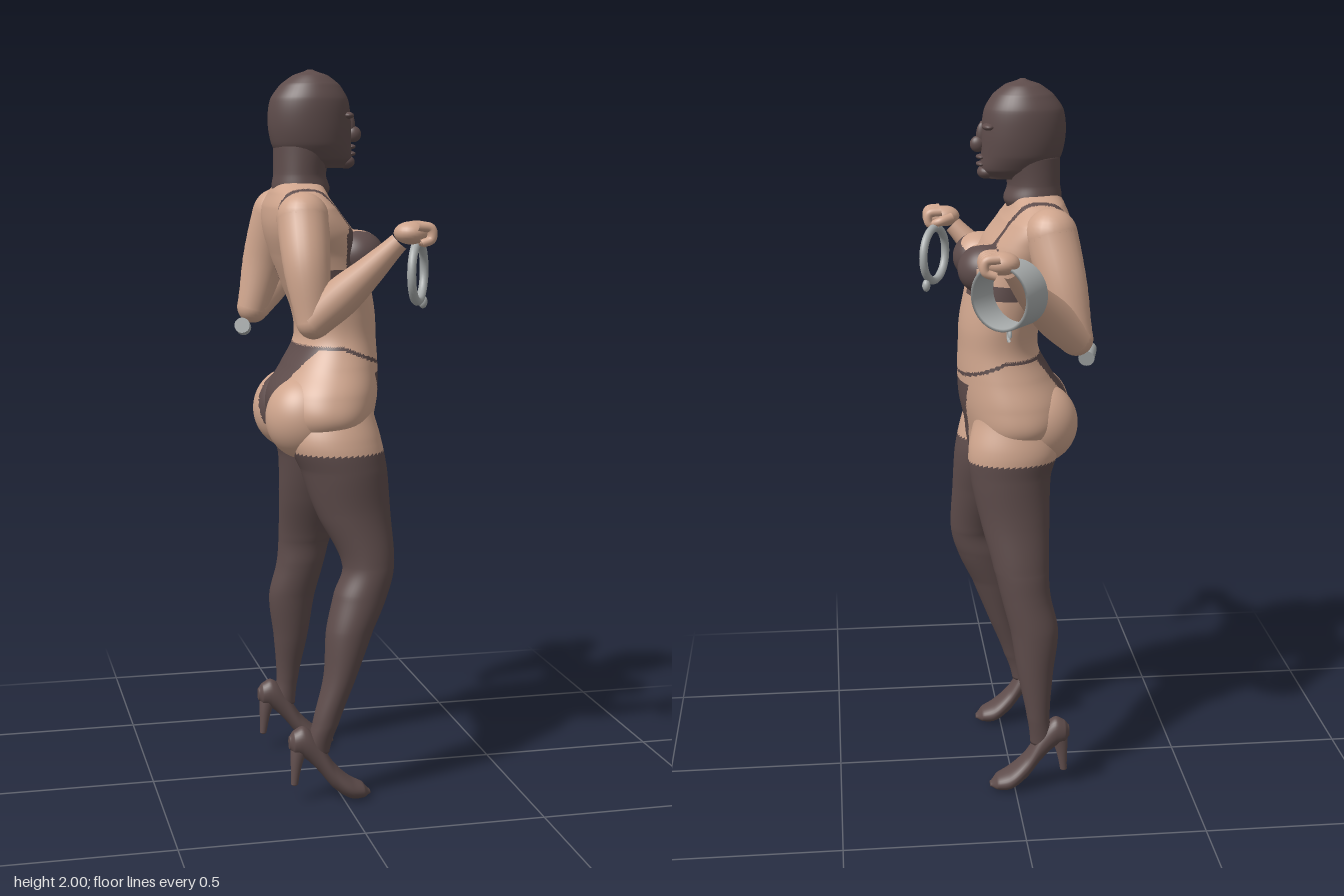
import * as THREE from 'three';

const mat = (name, color, side = THREE.FrontSide) => {
  const m = new THREE.MeshStandardMaterial({ color, side });
  m.name = name;
  return m;
};

// Catmull-Rom through the rows, sampled evenly within each span
function refine(rows, steps) {
  const out = [], n = rows.length;
  for (let i = 0; i < n - 1; i++) {
    const [a, b, c, d] = [rows[Math.max(i - 1, 0)], rows[i], rows[i + 1], rows[Math.min(i + 2, n - 1)]];
    for (let s = 0; s < steps; s++) {
      const t = s / steps;
      out.push(b.map((v, k) => k === 0 ? v + (c[0] - v) * t
        : 0.5 * (2 * v + (c[k] - a[k]) * t + (2 * a[k] - 5 * v + 4 * c[k] - d[k]) * t * t
          + (3 * v - a[k] - 3 * c[k] + d[k]) * t * t * t)));
    }
  }
  out.push(rows[n - 1]);
  return out;
}

// Loft of oval sections, rows [t, a0, a1, b0, b1]:
// axis 'y' rises with a = x, b = z; axis 'x' runs backwards with a = y, b = z
function loft(rows, { axis = 'y', steps = 8, seg = 48, power = 1 } = {}) {
  const rings = refine(rows, steps), pos = [], idx = [];
  const put = (t, a, b) => axis === 'y' ? pos.push(a, t, b) : pos.push(t, a, b);
  const bend = v => Math.sign(v) * Math.abs(v) ** power;
  for (const [t, a0, a1, b0, b1] of rings)
    for (let j = 0; j < seg; j++) {
      const q = j / seg * Math.PI * 2;
      put(t, (a0 + a1) / 2 + (a1 - a0) / 2 * bend(Math.cos(q)), (b0 + b1) / 2 + (b1 - b0) / 2 * bend(Math.sin(q)));
    }
  for (let i = 0; i < rings.length - 1; i++)
    for (let j = 0; j < seg; j++) {
      const a = i * seg + j, b = i * seg + (j + 1) % seg;
      idx.push(a, a + seg, b, b, a + seg, b + seg);
    }
  // End caps
  const last = (rings.length - 1) * seg, c = pos.length / 3;
  for (const [t, a0, a1, b0, b1] of [rings[0], rings[rings.length - 1]]) put(t, (a0 + a1) / 2, (b0 + b1) / 2);
  for (let j = 0; j < seg; j++) {
    const k = (j + 1) % seg;
    idx.push(c, j, k, c + 1, last + k, last + j);
  }
  const g = new THREE.BufferGeometry();
  g.setAttribute('position', new THREE.Float32BufferAttribute(pos, 3));
  g.setIndex(idx);
  g.computeVertexNormals();
  return g;
}

// Round limb through points [x, y, z, radius]
function limb(points) {
  const n = 24, seg = 24;
  const curve = new THREE.CatmullRomCurve3(points.map(p => new THREE.Vector3(p[0], p[1], p[2])));
  const radii = refine(points.map((p, i) => [i, p[3]]), 16);
  const g = new THREE.TubeGeometry(curve, n, 1, seg), pos = g.attributes.position, v = new THREE.Vector3();
  for (let i = 0; i < pos.count; i++) {
    const u = Math.floor(i / (seg + 1)) / n, c = curve.getPointAt(u);
    const r = radii[Math.round(u * (radii.length - 1))][1];
    v.fromBufferAttribute(pos, i).sub(c).multiplyScalar(r).add(c);
    pos.setXYZ(i, v.x, v.y, v.z);
  }
  return g;
}

const ball = (x, y, z, rx, ry, rz, seg = 24) =>
  new THREE.SphereGeometry(1, seg, Math.ceil(seg * 0.7)).scale(rx, ry, rz).translate(x, y, z);

// Sort faces into two material groups by their centre
function split(g, isSecond) {
  const p = g.attributes.position, src = g.index.array, lists = [[], []];
  for (let i = 0; i < src.length; i += 3) {
    const f = [src[i], src[i + 1], src[i + 2]];
    const mid = get => (get.call(p, f[0]) + get.call(p, f[1]) + get.call(p, f[2])) / 3;
    lists[isSecond(mid(p.getX), mid(p.getY), mid(p.getZ)) ? 1 : 0].push(...f);
  }
  g.setIndex([...lists[0], ...lists[1]]);
  g.addGroup(0, lists[0].length, 0);
  g.addGroup(lists[0].length, lists[1].length, 1);
  return g;
}

// Where the two-piece garment covers the torso
function covered(x, y, z) {
  const d = Math.abs(z - 0.033);
  if (y > 1.3) {
    const strap = y > 1.5 && (Math.abs(z - 0.143) < 0.008 || Math.abs(z + 0.095) < 0.008);
    const band = y > 1.425 && y < 1.465 && d > 0.05;
    const cup = x > 0.02 && d < 0.165 && y > 1.43 && y < Math.min(1.515 + d * 0.5, 1.655 - d * 0.6) && y > 1.485 - d;
    return strap || band || cup;
  }
  const string = Math.abs(y - (1.25 - Math.max(0, x - 0.02) * 0.4)) < 0.005;
  const front = x > 0 && y < 1.18 && d < 0.03 + Math.max(0, y - 0.96) * 0.4;
  const back = x <= 0 && y < 1.245 && d < 0.03 + Math.max(0, y - 1.0) * 0.35;
  return string || front || back;
}

export function createModel() {
  const model = new THREE.Group();
  const skin = mat('skin', 0xcfa58d), fabric = mat('dark fabric', 0x5e4c4b);
  const metal = mat('grey metal', 0xa8acac, THREE.DoubleSide);
  const add = (name, g, m, parent = model) => {
    const mesh = new THREE.Mesh(g, m);
    mesh.name = name;
    parent.add(mesh);
    return mesh;
  };
  const two = [skin, fabric];

  // Torso
  add('torso', split(loft([
    [0.93, -0.05, 0.07, 0.0, 0.08], [0.98, -0.13, 0.11, -0.12, 0.19], [1.05, -0.165, 0.12, -0.18, 0.255],
    [1.12, -0.165, 0.135, -0.178, 0.245], [1.2, -0.12, 0.14, -0.155, 0.2], [1.27, -0.085, 0.138, -0.14, 0.17],
    [1.34, -0.09, 0.135, -0.145, 0.17], [1.42, -0.12, 0.12, -0.155, 0.185], [1.5, -0.15, 0.1, -0.165, 0.2],
    [1.57, -0.17, 0.065, -0.18, 0.225], [1.63, -0.17, 0.02, -0.18, 0.22], [1.67, -0.155, -0.005, -0.12, 0.165],
    [1.7, -0.14, -0.01, -0.05, 0.09]], { steps: 12, seg: 144, power: 0.92 }), covered), two);
  for (const [side, z] of [['left', 0.115], ['right', -0.062]])
    add(side + 'Bust', split(ball(0.065, 1.5, z, 0.078, 0.07, 0.078, 72), covered), two);
  for (const [side, z] of [['left', 0.125], ['right', -0.06]])
    add(side + 'Buttock', split(ball(-0.08, 1.06, z, 0.11, 0.115, 0.105, 72), covered), two);
  add('bow', ball(0.105, 1.515, 0.03, 0.012, 0.014, 0.025), fabric);

  // Hooded head and neck
  const head = new THREE.Group();
  head.name = 'head';
  model.add(head);
  add('neck', loft([[1.655, -0.14, 0.0, -0.055, 0.095], [1.68, -0.15, 0.01, -0.062, 0.1],
    [1.72, -0.145, 0.0, -0.055, 0.095], [1.8, -0.145, 0.02, -0.055, 0.095]]), fabric, head);
  add('hood', loft([
    [1.735, -0.08, 0.055, -0.02, 0.06], [1.76, -0.125, 0.072, -0.045, 0.085], [1.8, -0.15, 0.071, -0.064, 0.104],
    [1.86, -0.16, 0.07, -0.072, 0.112], [1.92, -0.153, 0.062, -0.07, 0.11], [1.96, -0.125, 0.038, -0.053, 0.093],
    [1.985, -0.09, 0.005, -0.03, 0.07], [2.0, -0.05, -0.035, 0.01, 0.03]]), fabric, head);
  add('nose', ball(0.08, 1.827, 0.02, 0.021, 0.022, 0.016), fabric, head);
  add('noseBridge', ball(0.068, 1.85, 0.02, 0.016, 0.035, 0.011), fabric, head);
  add('chin', ball(0.058, 1.752, 0.02, 0.024, 0.019, 0.03), fabric, head);
  for (const y of [1.774, 1.793]) add('lip', ball(0.071, y, 0.02, 0.014, 0.007, 0.024), fabric, head);
  for (const s of [-1, 1]) add('brow', ball(0.053, 1.877, 0.02 + s * 0.035, 0.018, 0.01, 0.03), fabric, head);

  // Stockinged legs, bare above the stocking top
  const legs = {
    left: [[0.14, -0.105, -0.04, 0.215, 0.272], [0.22, -0.088, -0.015, 0.21, 0.285], [0.35, -0.055, 0.035, 0.19, 0.295],
      [0.48, -0.045, 0.085, 0.168, 0.298], [0.58, -0.02, 0.13, 0.15, 0.29], [0.66, 0.005, 0.15, 0.14, 0.28],
      [0.8, -0.06, 0.146, 0.09, 0.268], [0.92, -0.1, 0.14, 0.045, 0.272], [1.0, -0.13, 0.125, 0.04, 0.265],
      [1.1, -0.11, 0.1, 0.06, 0.23]],
    right: [[0.14, -0.11, -0.045, -0.225, -0.168], [0.22, -0.1, -0.035, -0.23, -0.165], [0.35, -0.11, -0.01, -0.232, -0.14],
      [0.48, -0.125, 0.01, -0.232, -0.12], [0.58, -0.105, 0.035, -0.223, -0.105], [0.66, -0.1, 0.055, -0.215, -0.095],
      [0.8, -0.105, 0.09, -0.195, -0.05], [0.92, -0.11, 0.115, -0.19, -0.02], [1.0, -0.13, 0.12, -0.19, -0.01],
      [1.1, -0.11, 0.1, -0.165, 0.0]] };
  for (const side of ['left', 'right']) {
    add(side + 'Leg', split(loft(legs[side], { steps: 12 }), (x, y) => y < 0.97), two);

    // High-heeled shoe
    const shoe = new THREE.Group();
    shoe.name = side + 'Shoe';
    shoe.position.set(side === 'left' ? 0 : -0.004, 0, side === 'left' ? 0.243 : -0.197);
    model.add(shoe);
    const foot = [[0.076, 0.008, 0.02, 0.012], [0.055, 0, 0.042, 0.035], [0.015, 0.003, 0.065, 0.047], [-0.03, 0.035, 0.11, 0.041],
      [-0.07, 0.085, 0.175, 0.035], [-0.11, 0.125, 0.215, 0.033], [-0.14, 0.14, 0.205, 0.027], [-0.153, 0.155, 0.19, 0.012]];
    add('foot', loft(foot.map(([x, y0, y1, w]) => [x, y0, y1, -w, w]), { axis: 'x', seg: 32 }), fabric, shoe);
    add('heel', limb([[-0.122, 0.165, 0, 0.026], [-0.131, 0.12, 0, 0.016], [-0.138, 0.052, 0, 0.01]]), fabric, shoe);
    add('heelTip', ball(-0.138, 0.052, 0, 0.01, 0.005, 0.01), fabric, shoe);
  }

  // Bent arms with closed hands
  const arms = {
    left: { upper: [[-0.1, 1.605, 0.19, 0.07], [-0.1, 1.48, 0.24, 0.062], [-0.085, 1.335, 0.252, 0.046]],
      fore: [[-0.085, 1.335, 0.252, 0.047], [-0.02, 1.4, 0.283, 0.052], [0.05, 1.47, 0.312, 0.039], [0.125, 1.55, 0.342, 0.026]],
      hand: [0.15, 1.573, 0.362] },
    right: { upper: [[-0.1, 1.605, -0.15, 0.072], [-0.13, 1.48, -0.19, 0.062], [-0.163, 1.335, -0.207, 0.046]],
      fore: [[-0.163, 1.335, -0.207, 0.047], [-0.1, 1.4, -0.247, 0.052], [-0.04, 1.465, -0.288, 0.039], [0.025, 1.55, -0.335, 0.026]],
      hand: [0.05, 1.573, -0.352] } };
  for (const [side, { upper, fore, hand }] of Object.entries(arms)) {
    const arm = new THREE.Group();
    arm.name = side + 'Arm';
    model.add(arm);
    add('upperArm', limb(upper), skin, arm);
    add('forearm', limb(fore), skin, arm);
    for (const [name, [x, y, z, r]] of [['shoulder', upper[0]], ['elbow', upper[2]]]) add(name, ball(x, y, z, r, r, r), skin, arm);
    const [x, y, z] = hand;
    add('palm', ball(x, y, z, 0.045, 0.03, 0.042), skin, arm);
    for (let i = 0; i < 4; i++) {
      const fz = z - 0.033 + i * 0.022;
      add('finger', limb([[x + 0.01, y + 0.018, fz, 0.013], [x + 0.045, y + 0.012, fz, 0.013],
        [x + 0.047, y - 0.015, fz, 0.012], [x + 0.02, y - 0.027, fz, 0.011]]), skin, arm);
    }
    const s = side === 'left' ? -1 : 1;
    add('thumb', limb([[x - 0.02, y, z + s * 0.03, 0.015], [x + 0.015, y - 0.01, z + s * 0.044, 0.013],
      [x + 0.04, y - 0.02, z + s * 0.03, 0.01]]), skin, arm);
  }

  // Thin ring held in the left hand
  const ring = add('leftRing', new THREE.TorusGeometry(0.077, 0.012, 12, 48), metal);
  ring.position.set(0.182, 1.468, 0.32);
  ring.rotation.y = 1.08;
  add('leftRingClasp', ball(0.21, 1.385, 0.272, 0.012, 0.018, 0.014), metal);

  // Wide band held in the right hand
  const wall = [[0.08, -0.047], [0.088, -0.047], [0.088, 0.047], [0.08, 0.047], [0.08, -0.047]];
  const band = add('rightBand', new THREE.LatheGeometry(wall.map(p => new THREE.Vector2(...p)), 48), metal);
  band.position.set(0.03, 1.485, -0.328);
  band.quaternion.setFromUnitVectors(new THREE.Vector3(0, 1, 0), new THREE.Vector3(0.62, 0, -0.78).normalize());
  const hook = add('rightBandHook', new THREE.TorusGeometry(0.02, 0.005, 8, 24, 4.2), metal);
  hook.position.set(0.03, 1.378, -0.328);
  hook.rotation.set(0, 1.57, 0);

  // Small capped tube beside the right elbow
  const plug = add('elbowTube', new THREE.CylinderGeometry(0.022, 0.022, 0.06, 24), metal);
  plug.position.set(-0.2, 1.283, -0.168);
  plug.rotation.set(1.35, 0, 0.25);
  return model;
}
